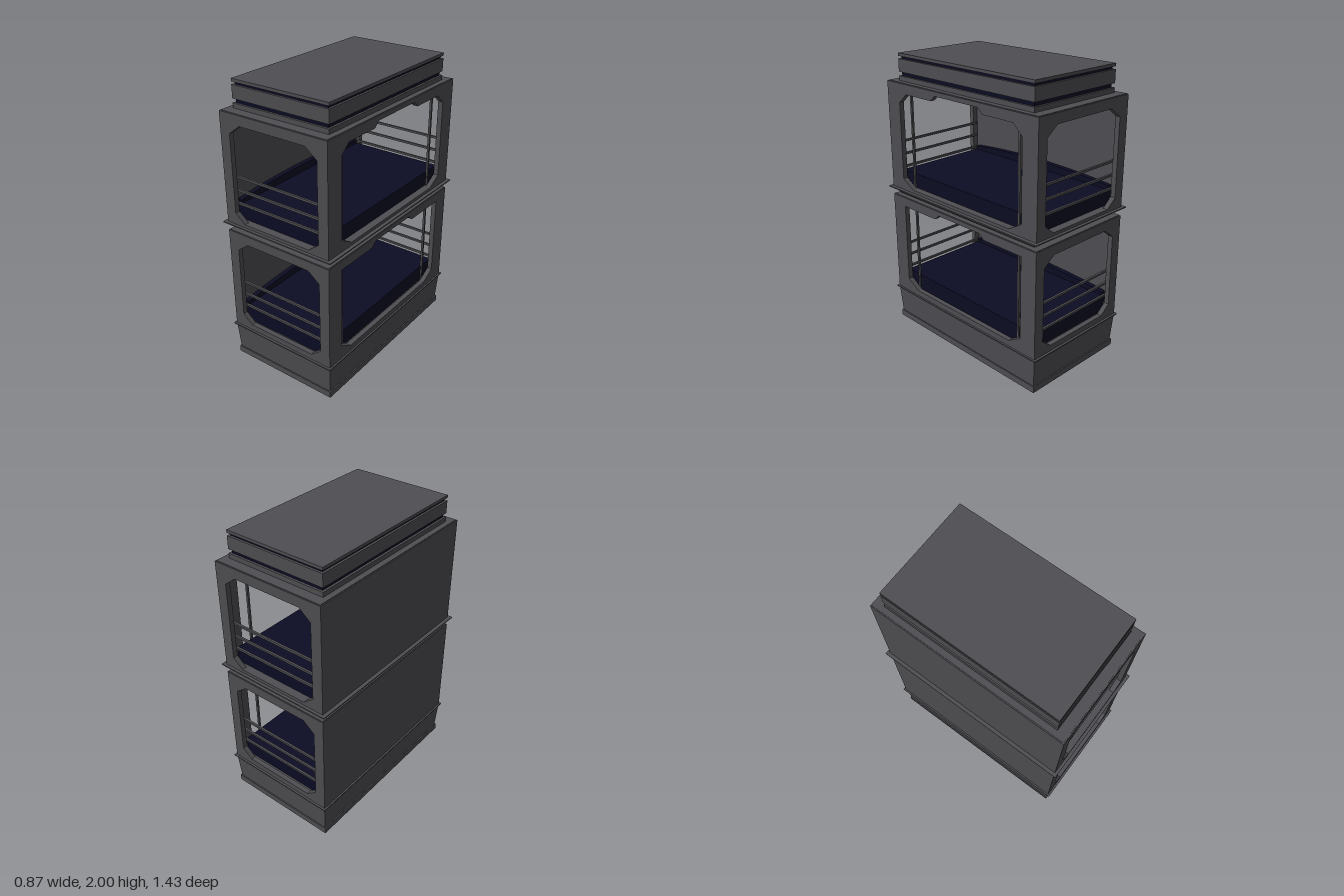
import * as THREE from 'three';

const shell = new THREE.MeshStandardMaterial({ name: 'charcoal shell', color: 0x4f4e52 });
const fabric = new THREE.MeshStandardMaterial({ name: 'navy padding', color: 0x0c0c24 });

function add(parent, name, geometry, material, x = 0, y = 0, z = 0) {
  const mesh = new THREE.Mesh(geometry, material);
  mesh.name = name;
  mesh.position.set(x, y, z);
  parent.add(mesh);
  return mesh;
}

const box = (w, h, d) => new THREE.BoxGeometry(w, h, d);

const outline = (points) => points.map(([x, y]) => new THREE.Vector2(x, y));
const rect = (x, y0, y1) => outline([[-x, y0], [x, y0], [x, y1], [-x, y1]]);

// Mirrors the right half of an opening (listed bottom to top) to the left
const mirrored = (half) => outline([...half, ...half.slice().reverse().map(([x, y]) => [-x, y])]);

// Flat panel with a window, centred on its own thickness
function panel(half, y0, y1, hole, thickness) {
  const shape = new THREE.Shape(rect(half, y0, y1));
  if (hole) shape.holes.push(new THREE.Path(hole));
  const g = new THREE.ExtrudeGeometry(shape, { depth: thickness, bevelEnabled: false });
  g.translate(0, 0, -thickness / 2);
  return g;
}

// Hollow rectangular band; its top can flare outward by fx and fz
function ring(hx, hz, y0, y1, wall, fx = 0, fz = 0) {
  const shape = new THREE.Shape(rect(hx, -hz, hz));
  shape.holes.push(new THREE.Path(rect(hx - wall, wall - hz, hz - wall)));
  const g = new THREE.ExtrudeGeometry(shape, { depth: y1 - y0, bevelEnabled: false });
  g.rotateX(-Math.PI / 2);
  g.translate(0, y0, 0);
  const p = g.attributes.position;
  for (let i = 0; i < p.count; i++) {
    if (p.getY(i) < (y0 + y1) / 2) continue;
    p.setX(i, p.getX(i) + Math.sign(p.getX(i)) * fx);
    p.setZ(i, p.getZ(i) + Math.sign(p.getZ(i)) * fz);
  }
  g.computeVertexNormals();
  return g;
}

// One sleeping compartment: y0 and y1 bound the shell, s is the sill, t the window top
function bunk(name, { y0, y1, s, t, notch, cornerCut }) {
  const group = new THREE.Group();
  group.name = name;
  const T = 0.035;

  // End walls with chamfered windows and three guard rails each
  const endHole = mirrored([[0.26, s], [0.335, s + 0.06], [0.335, t - 0.065], [0.25, t]]);
  for (const side of [1, -1]) {
    add(group, side > 0 ? 'frontWall' : 'backWall',
      panel(0.376, y0, y1, endHole, T), shell, 0, 0, side * (0.695 - T / 2));
    for (let i = 0; i < 3; i++) {
      add(group, 'guardRail', box(0.72, 0.015, 0.015), shell, 0, s + 0.113 + i * 0.094, side * 0.652);
    }
  }

  // Entry side with a notched window
  const topCorner = cornerCut ? [[0.57, t - 0.065], [0.495, t]] : [[0.57, t]];
  const sideHole = mirrored([[0.465, s], [0.57, s + 0.06], ...topCorner,
    [0.24, t], [0.2, notch]]);
  const entry = add(group, 'entryWall', panel(0.695, y0, y1, sideHole, T), shell, 0.41 - T / 2);
  entry.rotation.y = Math.PI / 2;
  for (const z of [0.505, -0.505]) {
    add(group, 'entryPost', box(0.015, t - s + 0.06, 0.015), shell, 0.358, (s + t) / 2, z);
  }

  // Closed side
  add(group, 'closedWall', box(T, y1 - y0, 1.39), shell, -0.41 + T / 2, (y0 + y1) / 2);

  // Floor, mattress and the padding below it
  add(group, 'floor', box(0.76, 0.02, 1.33), shell, 0, y0 + 0.012);
  const top = s + 0.1;
  add(group, 'mattress', box(0.71, top - y0 - 0.022, 1.27), fabric, 0, (top + y0 + 0.022) / 2);
  add(group, 'underside', box(0.5, 0.045, 1.04), fabric, 0, y0 - 0.02);

  // Padding curling up along the closed wall
  const curl = new THREE.Shape();
  curl.moveTo(-0.63, top - 0.06);
  curl.lineTo(0.63, top - 0.06);
  curl.lineTo(0.63, s + 0.125);
  curl.quadraticCurveTo(0, s + 0.185, -0.63, s + 0.125);
  const curlGeo = new THREE.ExtrudeGeometry(curl, { depth: 0.035, bevelEnabled: false, curveSegments: 16 });
  add(group, 'mattressEdge', curlGeo, fabric, -0.376).rotation.y = Math.PI / 2;
  return group;
}

export function createModel() {
  const model = new THREE.Group();
  model.name = 'stackedSleepingPods';

  // Hollow base
  add(model, 'baseRim', ring(0.405, 0.688, 0, 0.045, 0.03), shell);
  add(model, 'baseSkirt', ring(0.397, 0.68, 0.045, 0.25, 0.025, 0.012, 0.015), shell);
  add(model, 'baseFlange', ring(0.422, 0.71, 0.246, 0.254, 0.05), shell);

  // Two compartments
  model.add(bunk('lowerBunk', { y0: 0.252, y1: 0.995, s: 0.295, t: 0.93, notch: 0.965, cornerCut: false }));
  model.add(bunk('upperBunk', { y0: 1.055, y1: 1.812, s: 1.08, t: 1.745, notch: 1.782, cornerCut: true }));

  // Joint between the compartments
  add(model, 'lowerRoof', ring(0.405, 0.69, 0.98, 1.0, 0.1), shell);
  add(model, 'jointSeal', ring(0.365, 0.64, 0.998, 1.014, 0.06), fabric);
  add(model, 'jointCollar', ring(0.383, 0.65, 1.01, 1.052, 0.04, 0.027, 0.04), shell);
  add(model, 'jointFlange', ring(0.435, 0.715, 1.05, 1.058, 0.07), shell);

  // Upper roof and layered hollow lid
  add(model, 'upperRoof', ring(0.403, 0.688, 1.795, 1.816, 0.08), shell);
  add(model, 'lidBase', ring(0.365, 0.62, 1.814, 1.848, 0.04), shell);
  add(model, 'lidLowerSeal', ring(0.35, 0.605, 1.846, 1.877, 0.035), fabric);
  add(model, 'lidBand', ring(0.365, 0.62, 1.875, 1.962, 0.04), shell);
  add(model, 'lidUpperSeal', ring(0.35, 0.605, 1.96, 1.984, 0.035), fabric);
  add(model, 'lidCap', box(0.73, 0.02, 1.24), shell, 0, 1.99);
  return model;
}
